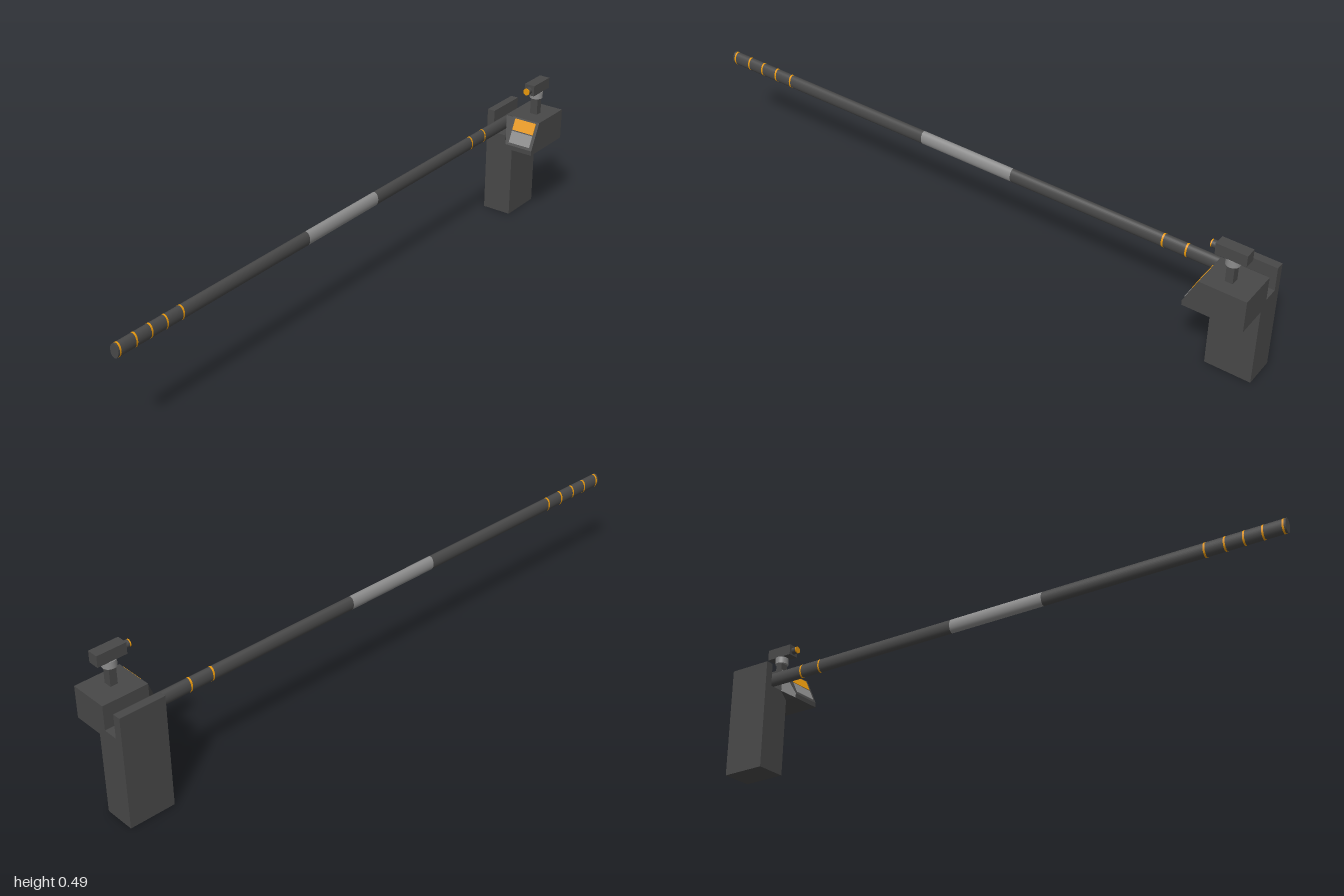
import * as THREE from 'three';
import { ConvexGeometry } from 'three/addons/geometries/ConvexGeometry.js';

const material = (color) => new THREE.MeshStandardMaterial({ color });
const dark = material(0x484848);
const grey = material(0x8c8c8c);
const orange = material(0xe8980c);

export function createModel() {
  const group = new THREE.Group();
  const add = (name, geometry, mat, x = 0, y = 0, z = 0) => {
    const mesh = new THREE.Mesh(geometry, mat);
    mesh.name = name;
    mesh.position.set(x, y, z);
    group.add(mesh);
    return mesh;
  };
  const extrude = (points, depth) => new THREE.ExtrudeGeometry(
    new THREE.Shape(points.map(([x, y]) => new THREE.Vector2(x, y))),
    { depth, bevelEnabled: false });

  // Upright post with a slot for the arm
  add('post', extrude([
    [-0.103, 0], [0, 0], [0, 0.372], [-0.027, 0.372],
    [-0.027, 0.293], [-0.076, 0.293], [-0.076, 0.372], [-0.103, 0.372],
  ], 0.15), dark, 0, 0, -1);

  // Control housing: side profile (z, y) with a sloping front
  const housing = extrude([
    [-1, 0.267], [-0.808, 0.267], [-0.808, 0.283], [-0.851, 0.372], [-1, 0.372],
  ], 0.102).rotateY(-Math.PI / 2);
  add('controlHousing', housing, dark, 0.102);

  // Small wedge joining the post to the housing front
  add('housingGusset', new ConvexGeometry([
    [-0.027, 0.372, -0.851], [0, 0.372, -0.851], [0, 0.283, -0.808],
    [0, 0.267, -0.808], [0, 0.267, -0.851], [-0.027, 0.293, -0.851],
  ].map((p) => new THREE.Vector3(...p))), dark);

  // Panels lying on the sloping front
  const slope = Math.atan2(0.043, 0.089);
  const panel = (name, low, high, mat) => {
    const y = (low + high) / 2;
    const z = -0.808 - (y - 0.283) * Math.tan(slope);
    const height = (high - low) / Math.cos(slope);
    add(name, new THREE.BoxGeometry(0.081, height, 0.004), mat, 0.051, y, z)
      .rotation.x = -slope;
  };
  panel('orangePanel', 0.331, 0.367, orange);
  panel('greyPanel', 0.291, 0.328, grey);

  // Oval arm in three lengths, with thin marker bands
  const oval = (name, back, front, mat, grow = 1) => {
    const geometry = new THREE.CylinderGeometry(1, 1, front - back, 32)
      .rotateX(Math.PI / 2).scale(0.015 * grow, 0.023 * grow, 1);
    add(name, geometry, mat, -0.052, 0.325, (front + back) / 2);
  };
  oval('armRear', -0.968, -0.13, dark);
  oval('armMiddle', -0.13, 0.207, grey);
  oval('armFront', 0.207, 1, dark);
  for (const z of [-0.735, -0.658, 0.75, 0.813, 0.872, 0.93, 0.991]) {
    oval('armBand', z - 0.003, z + 0.003, orange, 1.02);
  }

  // Camera on its short stand
  add('cameraStand', new THREE.BoxGeometry(0.027, 0.06, 0.024), dark, 0.044, 0.401, -0.92);
  add('cameraCollar', new THREE.CylinderGeometry(0.022, 0.022, 0.023, 32), grey, 0.044, 0.442, -0.92);
  add('cameraBody', new THREE.BoxGeometry(0.037, 0.037, 0.097), dark, 0.045, 0.4715, -0.9195);
  const lens = (name, length, mat, z) => add(name,
    new THREE.CylinderGeometry(0.0115, 0.0115, length, 32).rotateX(Math.PI / 2), mat, 0.045, 0.4705, z);
  lens('lensBarrel', 0.016, dark, -0.863);
  lens('lensFront', 0.004, orange, -0.853);

  return group;
}
